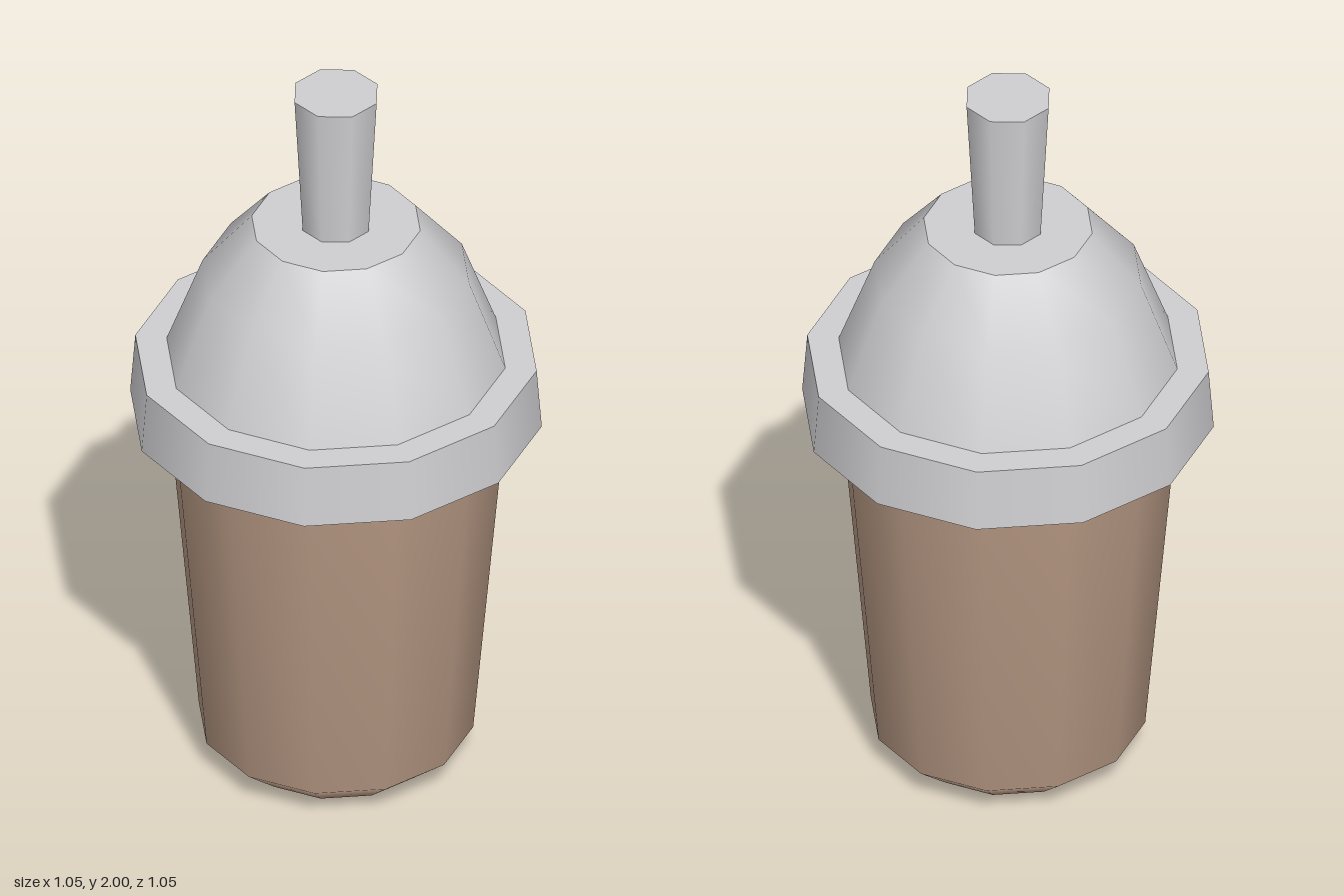
import * as THREE from 'three';

export function createModel() {
  const group = new THREE.Group();
  group.name = 'lidded drink cup';

  const grey = new THREE.MeshStandardMaterial({ color: 0xcfcfd2 });
  grey.name = 'light grey plastic';
  const brown = new THREE.MeshStandardMaterial({ color: 0xb79984 });
  brown.name = 'milky brown';

  // Each profile runs upward on the outside and is smooth along its length;
  // separate profiles meet at sharp edges.
  function turned(name, material, sides, ...profiles) {
    const part = new THREE.Group();
    part.name = name;
    for (const profile of profiles) {
      const points = profile.map(([r, y]) => new THREE.Vector2(r, y));
      const mesh = new THREE.Mesh(new THREE.LatheGeometry(points, sides), material);
      mesh.name = name + 'Surface';
      part.add(mesh);
    }
    group.add(part);
  }

  // Tapered cup with a softly chamfered base
  turned('cup', brown, 12,
    [[0, 0], [0.25, 0], [0.35, 0.085], [0.432, 1.03]]);

  // Lid rim: underside, band, upper ledge
  turned('lidRim', grey, 12,
    [[0.42, 1.03], [0.525, 1.03]],
    [[0.525, 1.03], [0.512, 1.2]],
    [[0.512, 1.2], [0.42, 1.2]]);

  // Domed lid with a flat top
  turned('lidDome', grey, 12,
    [[0.432, 1.2], [0.34, 1.45], [0.215, 1.6]],
    [[0.215, 1.6], [0, 1.6]]);

  // Flared, closed straw
  turned('straw', grey, 8,
    [[0.09, 1.6], [0.112, 2]],
    [[0.112, 2], [0, 2]]);

  return group;
}
